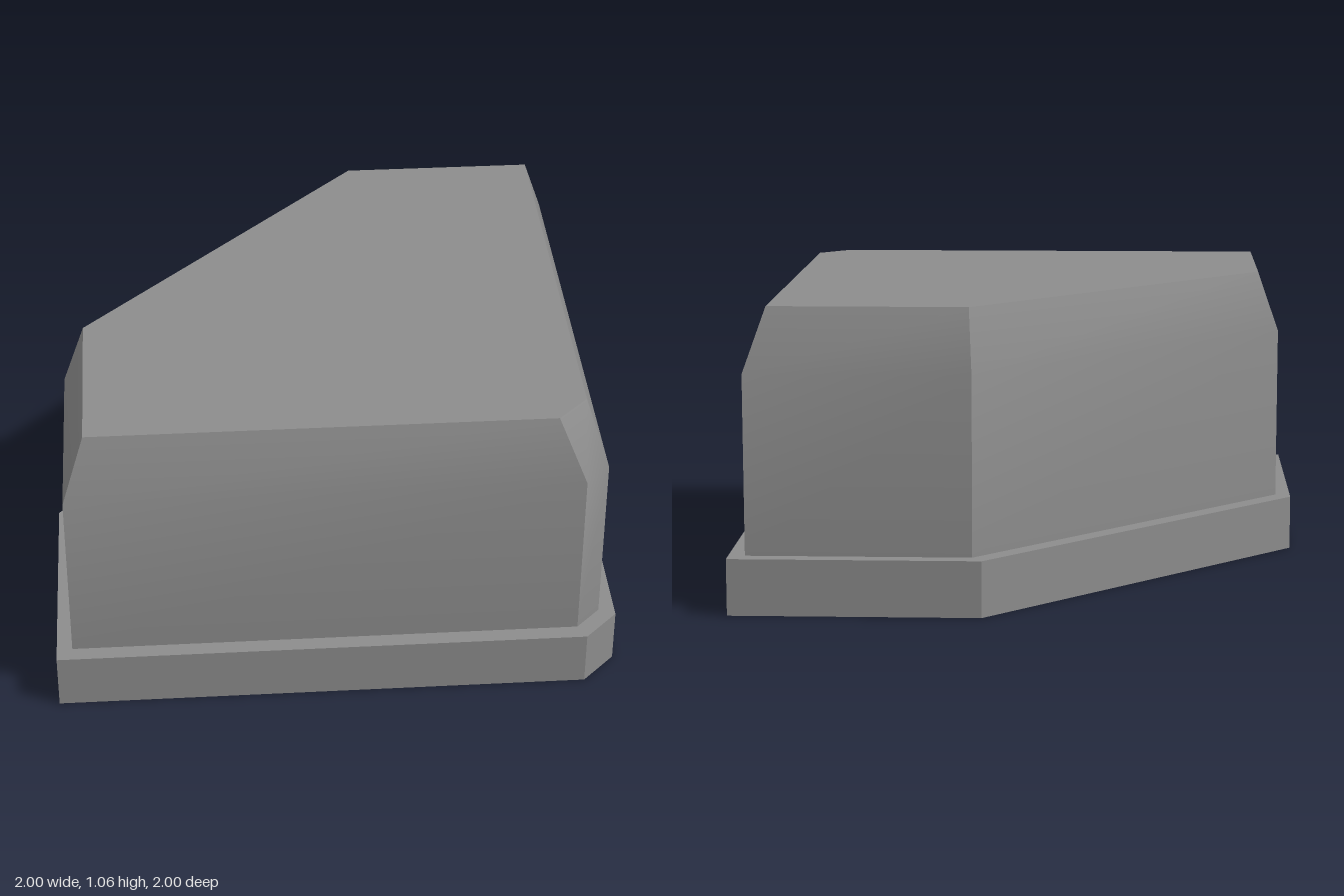
import * as THREE from 'three';
import { toCreasedNormals } from 'three/addons/utils/BufferGeometryUtils.js';

// Six-sided outlines as [x, z], clockwise seen from above
const baseOutline = [[-1, 0.14], [0.12, -1], [1, -1], [1, 0.88], [0.88, 1], [-1, 1]];
const bodyOutline = [[-0.945, 0.18], [0.155, -0.945], [0.942, -0.945], [0.942, 0.853], [0.853, 0.942], [-0.945, 0.942]];
const topOutline = [[-0.867, 0.19], [0.168, -0.87], [0.866, -0.87], [0.866, 0.757], [0.757, 0.866], [-0.867, 0.866]];

const ring = (outline, y) => outline.map(([x, z]) => [x, y, z]);

function makeGeometry(positions) {
  const geometry = new THREE.BufferGeometry();
  geometry.setAttribute('position', new THREE.Float32BufferAttribute(positions, 3));
  return toCreasedNormals(geometry, 0.5);
}

// Skin of quads joining each ring to the next one
function loft(rings) {
  const positions = [];
  for (let r = 0; r < rings.length - 1; r++) {
    const low = rings[r], high = rings[r + 1];
    for (let i = 0; i < low.length; i++) {
      const j = (i + 1) % low.length;
      positions.push(...low[j], ...low[i], ...high[i], ...low[j], ...high[i], ...high[j]);
    }
  }
  return makeGeometry(positions);
}

// Flat convex lid facing up
function lid(points) {
  const positions = [];
  for (let i = 1; i < points.length - 1; i++) positions.push(...points[0], ...points[i + 1], ...points[i]);
  return makeGeometry(positions);
}

export function createModel() {
  const group = new THREE.Group();
  const grey = new THREE.MeshStandardMaterial({ color: 0x8c8c8c, side: THREE.DoubleSide });
  grey.name = 'grey';

  const add = (name, geometry) => {
    const mesh = new THREE.Mesh(geometry, grey);
    mesh.name = name;
    group.add(mesh);
  };

  const baseTop = ring(baseOutline, 0.2);
  const bodyBottom = ring(bodyOutline, 0.2);
  const shoulder = ring(bodyOutline, 0.835);
  const top = ring(topOutline, 1.06);

  // Open-bottomed shell: skirt, narrow ledge, walls with a sloped shoulder, roof
  add('baseSkirt', loft([ring(baseOutline, 0), baseTop]));
  add('baseLedge', loft([baseTop, bodyBottom]));
  add('bodyWalls', loft([bodyBottom, shoulder, top]));
  add('roof', lid(top));

  return group;
}
